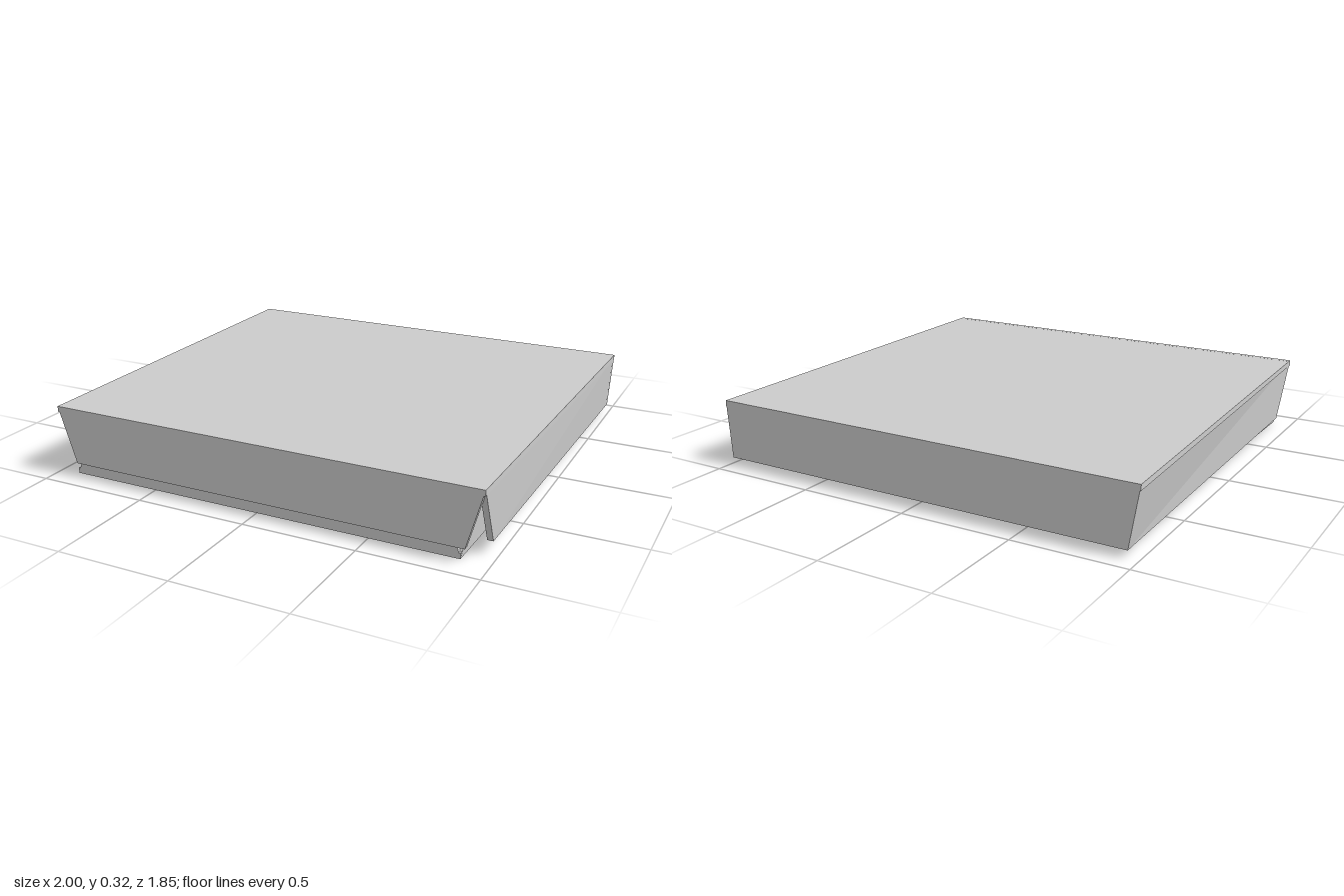
import * as THREE from 'three';

const material = new THREE.MeshStandardMaterial({ color: 0xcccccc, flatShading: true, side: THREE.DoubleSide });

// A board from four outer corners (counter-clockwise from outside) and an inward thickness vector
function board(name, outer, inward) {
  const inner = outer.map((p) => p.map((v, i) => v + inward[i]));
  const positions = [];
  const quad = (a, b, c, d) => positions.push(...a, ...b, ...c, ...a, ...c, ...d);
  quad(...outer);
  quad(inner[3], inner[2], inner[1], inner[0]);
  for (let i = 0; i < 4; i++) {
    const j = (i + 1) % 4;
    quad(outer[j], outer[i], inner[i], inner[j]);
  }
  const geometry = new THREE.BufferGeometry();
  geometry.setAttribute('position', new THREE.Float32BufferAttribute(positions, 3));
  geometry.computeVertexNormals();
  const mesh = new THREE.Mesh(geometry, material);
  mesh.name = name;
  return mesh;
}

export function createModel() {
  const model = new THREE.Group();
  model.name = 'boxWithLid';
  const t = 0.025;

  // Lid: sloping top with walls folded down, mitred open at the front corners
  const lid = new THREE.Group();
  lid.name = 'lid';
  const FL = [-0.96, 0.318, 0.927], FR = [0.98, 0.318, 0.927];
  const BL = [-1, 0.297, -0.927], BR = [1, 0.297, -0.927];
  const lowBL = [-0.955, 0.033, -0.925], lowBR = [0.985, 0.033, -0.925];
  lid.add(
    board('lidTop', [FL, FR, BR, BL], [0, -t, 0]),
    board('lidFront', [[-0.88, 0.067, 0.927], [0.91, 0.067, 0.927], FR, FL], [0, 0, -t]),
    board('lidBack', [lowBR, lowBL, BL, BR], [0, 0, t]),
    board('lidLeftSide', [[0.975, 0.053, 0.795], lowBR, BR, FR], [-t, 0, 0]),
    board('lidRightSide', [lowBL, [-0.95, 0.053, 0.795], FL, BL], [t, 0, 0]),
  );

  // Tray: floor with walls folded up inside the lid
  const tray = new THREE.Group();
  tray.name = 'tray';
  const fl = [-0.91, 0, 0.887], fr = [0.88, 0, 0.887];
  const bl = [-0.925, 0.047, -0.885], br = [0.94, 0.047, -0.885];
  const topBL = [-0.935, 0.265, -0.885], topBR = [0.95, 0.265, -0.885];
  tray.add(
    board('trayFloor', [fr, fl, bl, br], [0, t, 0]),
    board('trayFront', [fl, fr, [0.8, 0.265, 0.887], [-0.82, 0.265, 0.887]], [0, 0, -t]),
    board('trayBack', [br, bl, topBL, topBR], [0, 0, t]),
    board('trayLeftSide', [fr, br, topBR, [0.9, 0.265, 0.745]], [-t, 0, 0]),
    board('trayRightSide', [bl, fl, [-0.91, 0.265, 0.745], topBL], [t, 0, 0]),
  );

  model.add(lid, tray);
  return model;
}
